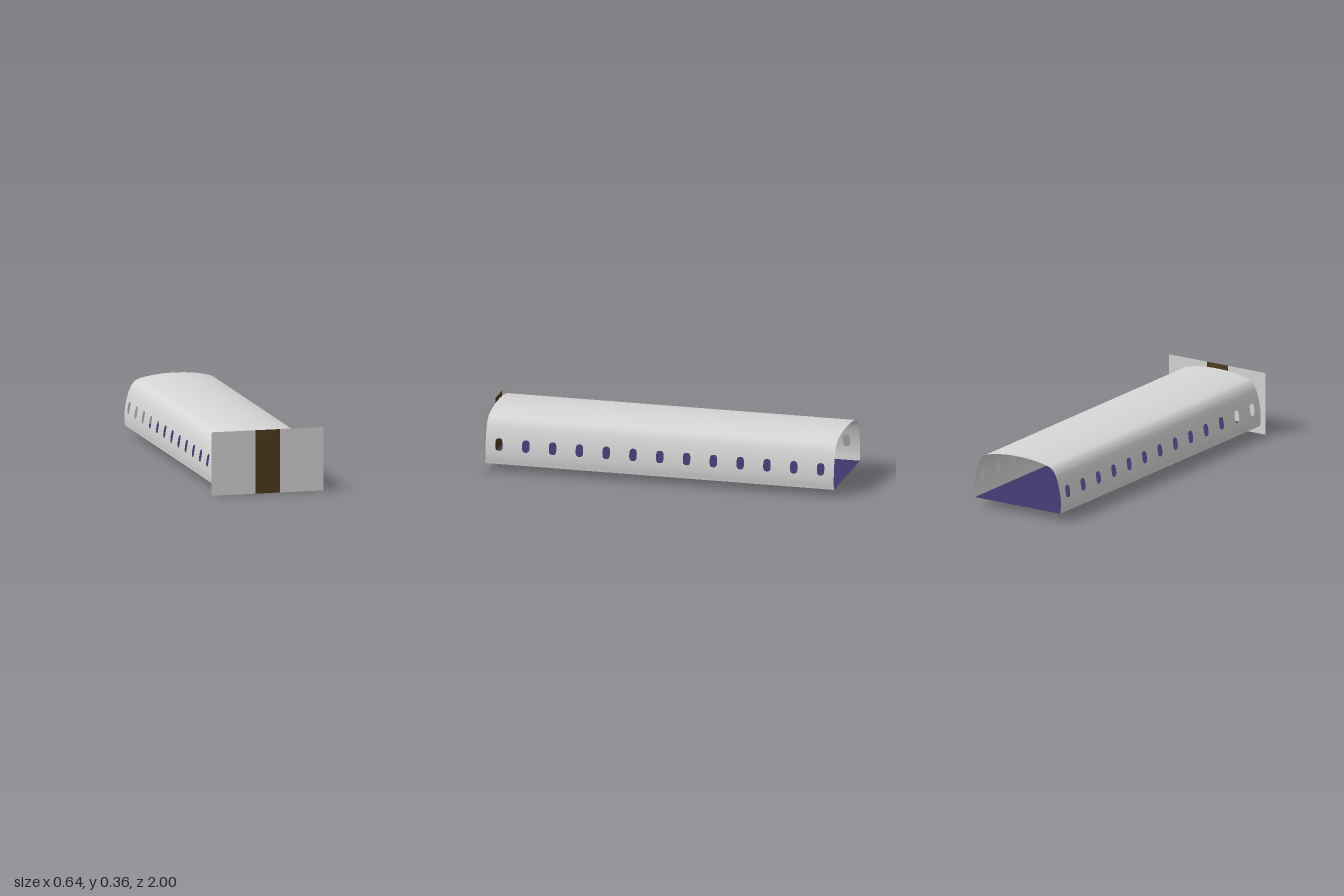
import * as THREE from 'three';
import { mergeGeometries } from 'three/addons/utils/BufferGeometryUtils.js';

const DS = THREE.DoubleSide;
const WINDOWS = 13, PITCH = 2 / WINDOWS;
const WIN_U = 0.114, WIN_HALF_U = 0.035, WIN_HALF_Z = 0.0215; // window centre and half sizes
const BAND_LOW = 0.044, BAND_HIGH = 0.184;                     // wall strip that holds the windows

// Half cross-section of the hull, from the floor edge to the crown
const half = [[0.285, 0.045], [0.289, 0.09], [0.286, 0.14], [0.277, 0.19], [0.263, 0.238],
  [0.247, 0.272], [0.222, 0.298], [0.175, 0.313], [0.09, 0.326]];
const points = [...half, [0, 0.33], ...half.map(([x, y]) => [-x, y]).reverse()];
const profile = new THREE.CatmullRomCurve3(points.map(([x, y]) => new THREE.Vector3(x, y, 0)));
profile.arcLengthDivisions = 400;

// Curved patch of the hull: map(s, t) gives [distance along the profile, z]
function hullPatch(map, m, n) {
  const pos = [], nor = [], index = [];
  for (let i = 0; i <= m; i++) {
    for (let j = 0; j <= n; j++) {
      const [u, z] = map(i / m, j / n);
      const uc = THREE.MathUtils.clamp(u, 0, 1);
      const p = profile.getPointAt(uc), t = profile.getTangentAt(uc);
      pos.push(p.x, p.y, z);
      nor.push(t.y, -t.x, 0);
      if (i < m && j < n) {
        const a = i * (n + 1) + j, b = a + n + 1;
        index.push(a, b, b + 1, a, b + 1, a + 1);
      }
    }
  }
  const g = new THREE.BufferGeometry();
  g.setAttribute('position', new THREE.Float32BufferAttribute(pos, 3));
  g.setAttribute('normal', new THREE.Float32BufferAttribute(nor, 3));
  g.setIndex(index);
  return g;
}

const strip = (u0, u1, n) => hullPatch((s, t) => [u0 + (u1 - u0) * s, -1 + 2 * t], n, 1);

// Rectangular wall cell with a rounded window opening
function windowCell(centreU, z) {
  const halfU = (BAND_HIGH - BAND_LOW) / 2;
  return hullPatch((s, t) => {
    const a = t * Math.PI * 2, c = Math.cos(a), d = Math.sin(a);
    const square = 1 / Math.max(Math.abs(c), Math.abs(d));
    const round = 1 / Math.pow(Math.abs(c) ** 3 + Math.abs(d) ** 3, 1 / 3);
    const mix = THREE.MathUtils.lerp;
    return [
      centreU + c * mix(round * WIN_HALF_U, square * halfU, s),
      z + d * mix(round * WIN_HALF_Z, square * PITCH / 2, s),
    ];
  }, 4, 40);
}

export function createModel() {
  const model = new THREE.Group();
  const shellGrey = new THREE.MeshStandardMaterial({ name: 'shellGrey', color: 0xd6d6d6, side: DS });
  const floorPurple = new THREE.MeshStandardMaterial({ name: 'floorPurple', color: 0x40356a, side: DS });
  const curtainBrown = new THREE.MeshStandardMaterial({ name: 'curtainBrown', color: 0x4e3b1e, side: DS });

  function add(name, geometry, material, x = 0, y = 0, z = 0) {
    const mesh = new THREE.Mesh(geometry, material);
    mesh.name = name;
    mesh.position.set(x, y, z);
    model.add(mesh);
    return mesh;
  }

  // Roof and the plain strips under the windows
  add('roof', strip(BAND_HIGH, 1 - BAND_HIGH, 60), shellGrey);
  add('leftLowerWall', strip(0, BAND_LOW, 3), shellGrey);
  add('rightLowerWall', strip(1 - BAND_LOW, 1, 3), shellGrey);

  // Window walls
  for (const [name, u] of [['leftWindowWall', WIN_U], ['rightWindowWall', 1 - WIN_U]]) {
    const cells = [];
    for (let i = 0; i < WINDOWS; i++) cells.push(windowCell(u, -1 + (i + 0.5) * PITCH));
    add(name, mergeGeometries(cells), shellGrey);
  }

  // Floor
  add('floor', new THREE.PlaneGeometry(0.57, 2).rotateX(-Math.PI / 2), floorPurple, 0, 0.045, 0);

  // Front bulkhead panels on both sides of the curtain
  const height = 0.358, outer = 0.322, inner = 0.07;
  for (const [name, side] of [['leftBulkhead', 1], ['rightBulkhead', -1]]) {
    add(name, new THREE.PlaneGeometry(outer - inner, height), shellGrey,
      side * (outer + inner) / 2, height / 2, 1);
  }

  // Finely pleated curtain
  const curtain = new THREE.PlaneGeometry(inner * 2, height, 34, 1);
  const p = curtain.attributes.position;
  for (let i = 0; i < p.count; i++) p.setZ(i, (i % 35) % 2 ? -0.0006 : 0);
  curtain.computeVertexNormals();
  add('curtain', curtain, curtainBrown, 0, height / 2, 1);

  return model;
}
